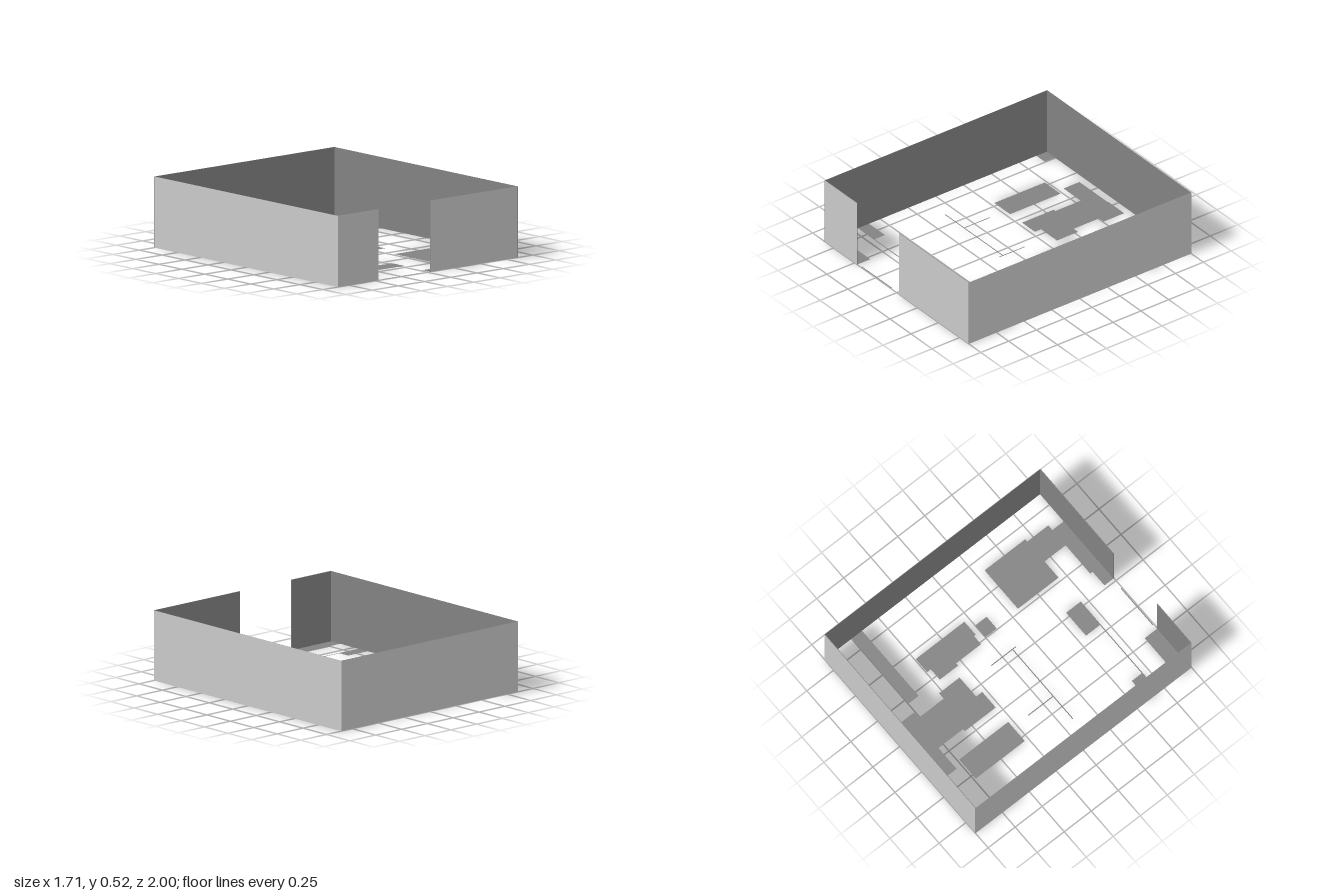
import * as THREE from 'three';

export function createModel() {
  const group = new THREE.Group();
  const outer = new THREE.MeshStandardMaterial({ color: 0xc9c9c9 });
  outer.name = 'light grey outside';
  const inner = new THREE.MeshStandardMaterial({ color: 0x828282 });
  inner.name = 'dark grey inside';
  const floor = new THREE.MeshStandardMaterial({ color: 0x828282, side: THREE.DoubleSide });
  floor.name = 'dark grey floor';

  const L = -0.857, R = 0.857, H = 0.52;
  const thick = 0.005, thin = 0.002;

  // Thin wall whose outer face runs from a to b: light outside, dark inside and edges
  function wall(name, [x0, z0], [x1, z1], depth) {
    const length = Math.hypot(x1 - x0, z1 - z0);
    const box = new THREE.BoxGeometry(length, H, depth).translate(length / 2, H / 2, -depth / 2);
    const mesh = new THREE.Mesh(box, [inner, inner, inner, inner, outer, inner]);
    mesh.name = name;
    mesh.position.set(x0, 0, z0);
    mesh.rotation.y = Math.atan2(z0 - z1, x1 - x0);
    group.add(mesh);
  }
  wall('frontWallRight', [L + thin, 1], [-0.471, 1], thick);
  wall('frontWallLeft', [0.024, 1], [R - thin, 1], thick);
  wall('leftWall', [R, 1], [R, -1], thin);
  wall('backWall', [R - thin, -1], [L, -1], thick);
  wall('rightWall', [L, -1 + thick], [L, 1], thin);

  // Flat floor patch from an outline of [x, z] corners
  function patch(name, points) {
    const shape = new THREE.Shape(points.map(([x, z]) => new THREE.Vector2(x, -z)));
    const mesh = new THREE.Mesh(new THREE.ShapeGeometry(shape).rotateX(-Math.PI / 2), floor);
    mesh.name = name;
    group.add(mesh);
  }
  const rect = (name, x0, z0, x1, z1) => patch(name, [[x0, z1], [x1, z1], [x1, z0], [x0, z0]]);

  // Rectangular floor patches
  rect('backCornerPatch', L, -1, -0.755, -0.902);
  rect('backWallPatch', 0.235, -1, 0.347, -0.902);
  rect('longSidePatch', -0.535, -0.735, -0.347, -0.281);
  rect('crossStrip', 0.213, -0.748, R, -0.653);
  rect('smallPatch', 0.257, 0, 0.373, 0.106);
  rect('rightEntryPatch', L, 0.603, -0.665, 0.703);
  rect('middleEntryPatch', -0.19, 0.567, 0.036, 0.703);

  // Stepped floor patches
  patch('centrePatch', [
    [-0.39, -0.937], [-0.052, -0.937], [-0.052, -0.942], [0.136, -0.942], [0.136, -0.757], [0.083, -0.757],
    [0.083, -0.527], [0.136, -0.527], [0.136, -0.337], [-0.052, -0.337], [-0.052, -0.281], [-0.205, -0.281],
    [-0.205, -0.567], [-0.185, -0.567], [-0.185, -0.794], [-0.39, -0.794]]);
  patch('leftPatch', [
    [0.213, -0.457], [0.315, -0.457], [0.315, -0.492], [0.444, -0.492], [0.444, -0.041], [0.315, -0.041],
    [0.315, -0.057], [0.236, -0.057], [0.236, -0.287], [0.213, -0.287]]);
  patch('frontLeftPatch', [
    [0.278, 0.319], [0.656, 0.319], [0.656, 0.695], [0.633, 0.695], [0.633, 0.89], [0.587, 0.89], [0.587, 1],
    [0.024, 1], [0.024, 0.912], [0.157, 0.912], [0.157, 0.89], [0.437, 0.89], [0.437, 0.695], [0.278, 0.695]]);
  patch('frontRightPatch', [
    [L, 0.896], [-0.755, 0.896], [-0.755, 0.881], [-0.471, 0.881], [-0.471, 1], [L, 1]]);

  // Narrow partition lines on the floor
  const w = 0.004;
  rect('partitionLine', -0.623, 0.093 - w, 0.063 - w, 0.093 + w);
  rect('partitionBranchRight', -0.399 - w, -0.139, -0.399 + w, 0.093 - w);
  rect('partitionBranchLeft', 0.063 - w, -0.102, 0.063 + w, 0.124);
  rect('entryLine', -0.665, 0.703 - 2 * w, -0.19, 0.703);
  rect('thresholdLine', -0.428, 0.991 - w, -0.068, 0.991 + w);

  return group;
}
